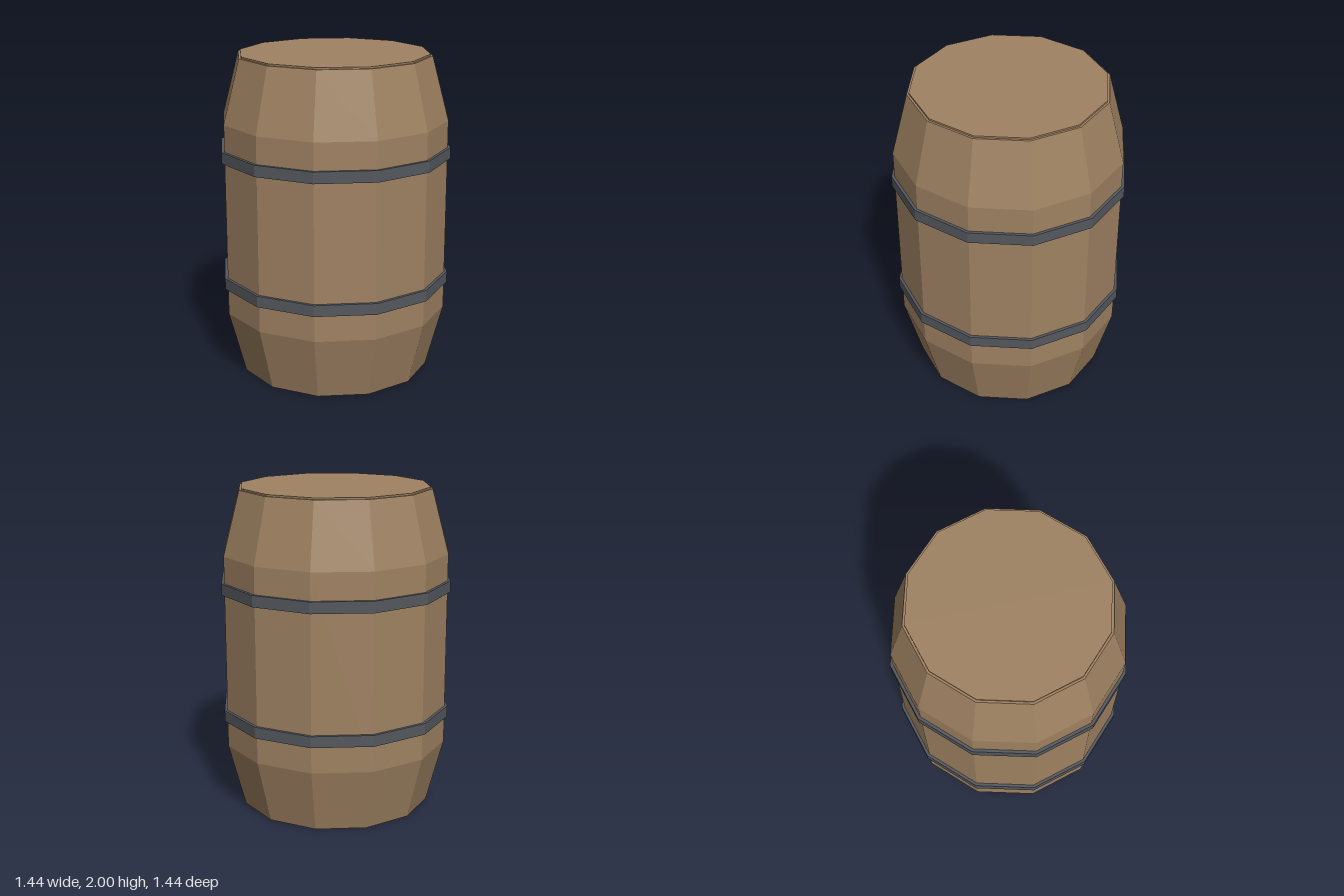
import * as THREE from 'three';

const SIDES = 12;

// Faceted 12-sided solid from a profile of [radius, height], listed bottom to top
function faceted(name, profile, material) {
  const points = profile.map(([r, y]) => new THREE.Vector2(r, y));
  const geometry = new THREE.LatheGeometry(points, SIDES).toNonIndexed();
  geometry.computeVertexNormals();
  const mesh = new THREE.Mesh(geometry, material);
  mesh.name = name;
  return mesh;
}

export function createModel() {
  const barrel = new THREE.Group();
  barrel.name = 'barrel';

  const wood = new THREE.MeshStandardMaterial({ color: 0x9f8262 });
  wood.name = 'wood';
  const iron = new THREE.MeshStandardMaterial({ color: 0x54585e });
  iron.name = 'iron';

  // Body with straight middle and tapered ends
  barrel.add(faceted('body', [
    [0, 0], [0.595, 0], [0.7, 0.4], [0.7, 1.6], [0.597, 1.99], [0, 1.99],
  ], wood));

  // Thin raised lid
  barrel.add(faceted('lid', [[0.584, 1.985], [0.584, 2], [0, 2]], wood));

  // Two iron hoops
  [['lowerHoop', 0.6], ['upperHoop', 1.4]].forEach(([name, y]) => {
    const h = 0.035;
    barrel.add(faceted(name, [
      [0.69, y - h], [0.718, y - h], [0.718, y + h], [0.69, y + h],
    ], iron));
  });

  return barrel;
}
